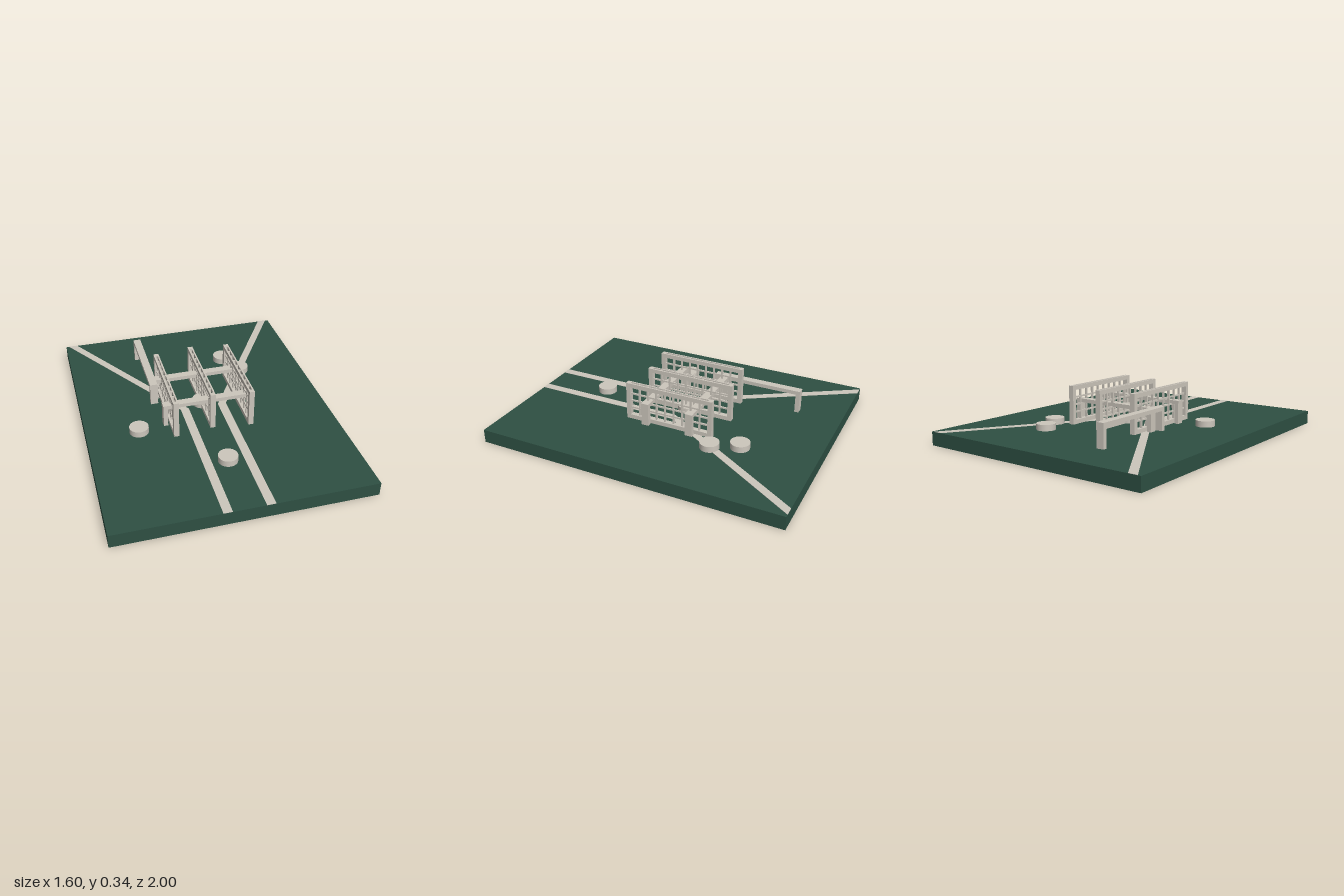
import * as THREE from 'three';

const GROUND = 0.088; // top of the board

export function createModel() {
  const green = new THREE.MeshStandardMaterial({ color: 0x2e5043 });
  green.name = 'dark green';
  const stone = new THREE.MeshStandardMaterial({ color: 0xcdc7bd });
  stone.name = 'warm light grey';

  const model = new THREE.Group();
  model.name = 'obstacleBoard';

  // Box given by its min and max corners
  const box = (parent, name, [x0, y0, z0], [x1, y1, z1], mat = stone) => {
    const mesh = new THREE.Mesh(new THREE.BoxGeometry(x1 - x0, y1 - y0, z1 - z0), mat);
    mesh.position.set((x0 + x1) / 2, (y0 + y1) / 2, (z0 + z1) / 2);
    mesh.name = name;
    parent.add(mesh);
  };
  const group = (name, x = 0, z = 0) => {
    const g = new THREE.Group();
    g.name = name;
    g.position.set(x, GROUND, z);
    model.add(g);
    return g;
  };

  box(model, 'board', [-0.8, 0, -1], [0.8, GROUND, 1], green);

  // Painted lane lines: straight at the front, splaying towards the back corners
  for (const s of [-1, 1]) {
    const outline = [[0.1, 1], [0.155, 1], [0.155, 0], [0.78, -1], [0.72, -1], [0.1, 0]];
    const shape = new THREE.Shape(outline.map(([x, z]) => new THREE.Vector2(s * x, -z)));
    const line = new THREE.Mesh(
      new THREE.ExtrudeGeometry(shape, { depth: 0.002, bevelEnabled: false }), stone);
    line.rotation.x = -Math.PI / 2;
    line.position.y = GROUND;
    line.name = s < 0 ? 'laneLineRight' : 'laneLineLeft';
    model.add(line);
  }

  // Lattice panels: end posts, paired top rails, sill and a grid of thin bars
  const addPanel = (name, x, z) => {
    const g = group(name, x, z);
    const w = 0.017, h = 0.252, half = 0.298, inner = 0.27;
    for (const s of [-1, 1]) {
      const za = s * inner, zb = s * half;
      box(g, 'endPost', [-w, 0, Math.min(za, zb)], [w, h, Math.max(za, zb)]);
      const xa = s * 0.007, xb = s * w;
      box(g, 'topRail', [Math.min(xa, xb), h - 0.028, -inner], [Math.max(xa, xb), h, inner]);
    }
    box(g, 'bottomRail', [-w, 0, -inner], [w, 0.028, inner]);
    for (let i = 1; i <= 8; i++) {
      const zc = -inner + i * 0.06;
      box(g, 'uprightBar', [-0.007, 0.028, zc - 0.005], [0.007, h - 0.004, zc + 0.005]);
    }
    for (let i = 1; i <= 3; i++) {
      const yc = 0.028 + i * 0.049;
      box(g, 'crossBar', [-0.005, yc - 0.005, -inner], [0.005, yc + 0.005, inner]);
    }
  };
  addPanel('rightPanel', -0.245, -0.032);
  addPanel('middlePanel', 0, -0.062);
  addPanel('leftPanel', 0.245, -0.032);

  // Hurdles: a flat beam on two posts
  const addHurdle = (name, x, z, turned) => {
    const g = group(name, x, z);
    if (turned) g.rotation.y = Math.PI / 2;
    box(g, 'beam', [-0.3, 0.127, -0.025], [0.3, 0.152, 0.025]);
    box(g, 'postA', [-0.3, 0, -0.025], [-0.272, 0.127, 0.025]);
    box(g, 'postB', [0.272, 0, -0.025], [0.3, 0.127, 0.025]);
  };
  addHurdle('frontHurdle', 0, 0.115, false);
  addHurdle('backHurdle', 0, -0.19, false);
  addHurdle('sideHurdle', -0.308, -0.415, true);

  // Round marker discs
  const disc = new THREE.CylinderGeometry(0.062, 0.062, 0.04, 32);
  for (const [x, z] of [[0.28, -0.53], [0.36, -0.362], [0, -0.042], [-0.465, 0.155], [0, 0.57]]) {
    const mesh = new THREE.Mesh(disc, stone);
    mesh.position.set(x, GROUND + 0.02, z);
    mesh.name = 'markerDisc';
    model.add(mesh);
  }

  return model;
}
